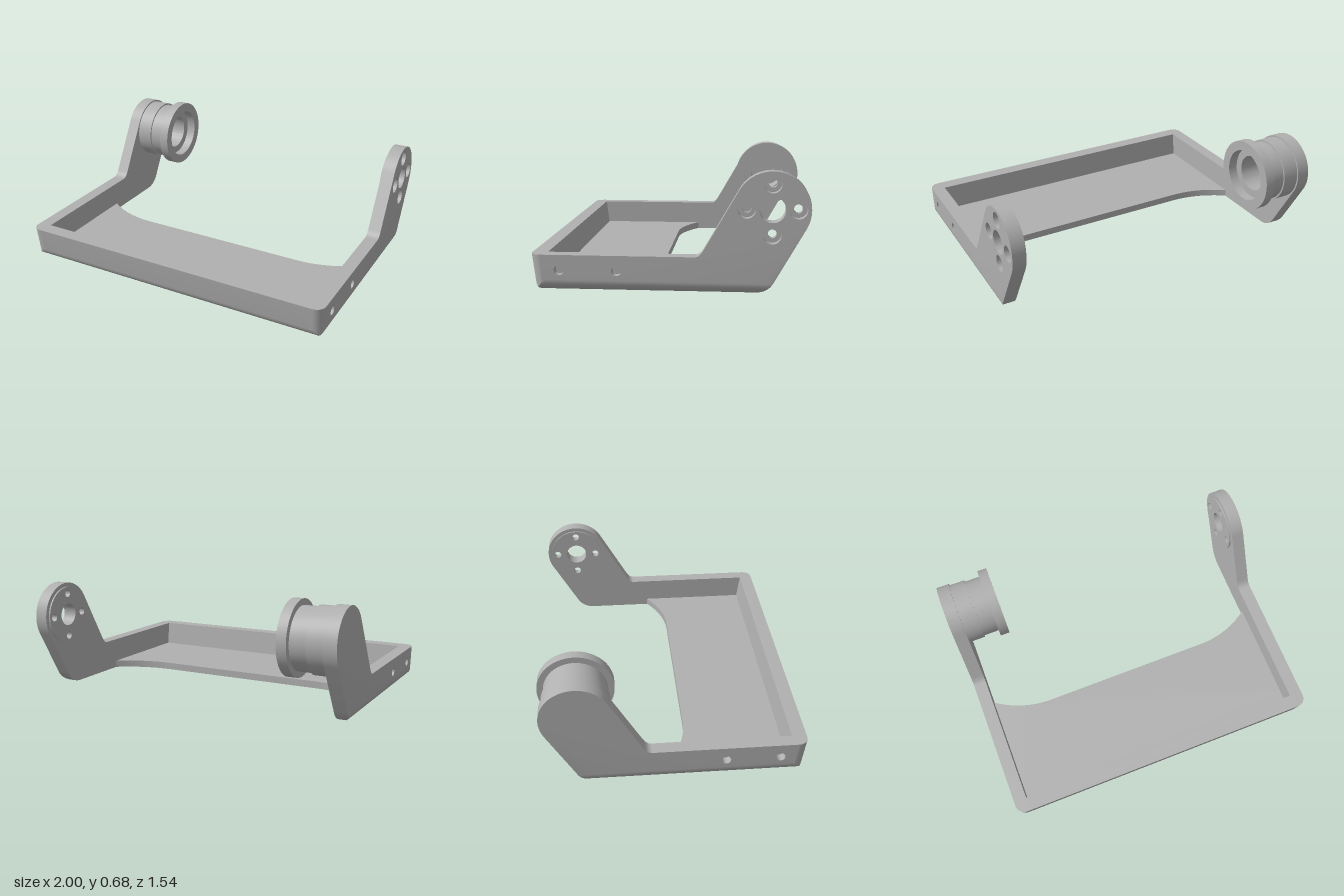
import * as THREE from 'three';
import { toCreasedNormals } from 'three/addons/utils/BufferGeometryUtils.js';

const WALL = 0.08, ROUND = 0.06, FLOOR = 0.045;
const PIVOT = { z: -0.545, y: 0.462 };
const BOLT_CIRCLE = 0.137;

export function createModel() {
  const group = new THREE.Group();
  const grey = new THREE.MeshStandardMaterial({ color: 0xb0b0b0 });

  const add = (name, geometry, parent = group) => {
    const mesh = new THREE.Mesh(toCreasedNormals(geometry, 0.5), grey);
    mesh.name = name;
    parent.add(mesh);
    return mesh;
  };

  // Extrudes a (z, y) shape along x, from xHigh down to xHigh - depth
  const extrudeX = (shape, xHigh, depth, steps = 1) =>
    new THREE.ExtrudeGeometry(shape, { depth, steps, bevelEnabled: false, curveSegments: 24 })
      .rotateY(-Math.PI / 2).translate(xHigh, 0, 0);

  const circle = (z, y, r, Type = THREE.Path) => {
    const path = new Type();
    path.absarc(z, y, r, 0, Math.PI * 2, false);
    return path;
  };

  const bolts = [0, 1, 2, 3].map((i) => [
    PIVOT.z + BOLT_CIRCLE * Math.cos(i * Math.PI / 2),
    PIVOT.y + BOLT_CIRCLE * Math.sin(i * Math.PI / 2),
  ]);
  const sideHoles = [[0.61, 0.115], [0.295, 0.115]];

  // Side wall and raised arm in one profile
  const sideShape = () => {
    const s = new THREE.Shape();
    s.moveTo(0.77, 0.2);
    s.lineTo(-0.13, 0.2);
    s.quadraticCurveTo(-0.157, 0.2, -0.18, 0.239);
    s.absarc(PIVOT.z, PIVOT.y, 0.205, Math.PI / 6, Math.PI * 7 / 6, false);
    s.lineTo(-0.557, 0.07);
    s.quadraticCurveTo(-0.517, 0, -0.437, 0);
    s.lineTo(0.69, 0);
    s.quadraticCurveTo(0.745, 0, 0.752, 0.06);
    s.closePath();
    sideHoles.forEach(([z, y]) => s.holes.push(circle(z, y, 0.027)));
    return s;
  };

  // Rounds the outer bottom edge and the outer front corner
  const roundOuterEdges = (geometry) => {
    const p = geometry.attributes.position;
    for (let i = 0; i < p.count; i++) {
      const side = Math.sign(p.getX(i));
      const u = (1 - Math.abs(p.getX(i))) / WALL;
      const t = WALL * u * u;
      const k = Math.max(ROUND - t, 0);
      const inset = ROUND - Math.sqrt(ROUND * ROUND - k * k);
      const y = Math.max(p.getY(i), inset);
      const front = 0.77 - (0.2 - y) * 0.13;
      p.setXYZ(i, side * (1 - t), y, Math.min(p.getZ(i), front - inset));
    }
    return geometry;
  };

  for (const side of [1, -1]) {
    const name = side > 0 ? 'left' : 'right';
    const shape = sideShape();
    if (side > 0) {
      shape.holes.push(circle(PIVOT.z, PIVOT.y, 0.07));
      bolts.forEach(([z, y]) => shape.holes.push(circle(z, y, 0.048)));
    }
    add(name + 'SideArm', roundOuterEdges(extrudeX(shape, side > 0 ? 1 : -0.92, WALL, 12)));
    // Bottoms of the blind side holes
    sideHoles.forEach(([z, y]) => add(name + 'HoleBottom',
      extrudeX(circle(z, y, 0.027, THREE.Shape), side > 0 ? 0.95 : -0.92, 0.03)));
  }

  // Counterbore seats and the mounting boss on the left arm
  bolts.forEach(([z, y]) => {
    const seat = circle(z, y, 0.048, THREE.Shape);
    seat.holes.push(circle(z, y, 0.024));
    add('boltSeat', extrudeX(seat, 0.95, 0.03));
  });
  const boss = circle(PIVOT.z, PIVOT.y, 0.18, THREE.Shape);
  boss.holes.push(circle(PIVOT.z, PIVOT.y, 0.07));
  bolts.forEach(([z, y]) => boss.holes.push(circle(z, y, 0.024)));
  add('mountingBoss', extrudeX(boss, 0.92, 0.01));

  // Front wall, leaning outward, with a strip of floor
  const front = new THREE.Shape();
  front.moveTo(0.77, 0.2);
  front.lineTo(0.685, 0.2);
  front.lineTo(0.665, FLOOR);
  front.lineTo(0.6, FLOOR);
  front.lineTo(0.6, 0);
  front.lineTo(0.69, 0);
  front.quadraticCurveTo(0.745, 0, 0.752, 0.06);
  front.closePath();
  add('frontWall', extrudeX(front, 0.92, 1.84));

  // Floor with a scooped back edge, drawn in (x, z)
  const floor = new THREE.Shape();
  floor.moveTo(-0.92, 0.6);
  floor.lineTo(-0.92, -0.03);
  floor.quadraticCurveTo(-0.75, 0.09, -0.55, 0.09);
  floor.lineTo(0.55, 0.09);
  floor.quadraticCurveTo(0.75, 0.09, 0.92, -0.03);
  floor.lineTo(0.92, 0.6);
  floor.closePath();
  add('floor', new THREE.ExtrudeGeometry(floor, { depth: FLOOR, bevelEnabled: false, curveSegments: 24 })
    .rotateX(Math.PI / 2).translate(0, FLOOR, 0));

  // Stepped hub with a recessed bore on the right arm: [radius, x]
  const hubProfile = [
    [0.195, -0.92], [0.195, -0.82], [0.185, -0.82], [0.185, -0.72], [0.222, -0.72],
    [0.222, -0.66], [0.162, -0.66], [0.162, -0.72], [0.112, -0.72], [0.112, -0.915], [0, -0.915],
  ].map(([r, x]) => new THREE.Vector2(r, x));
  add('hub', new THREE.LatheGeometry(hubProfile, 64)
    .rotateZ(-Math.PI / 2).translate(0, PIVOT.y, PIVOT.z));

  return group;
}
